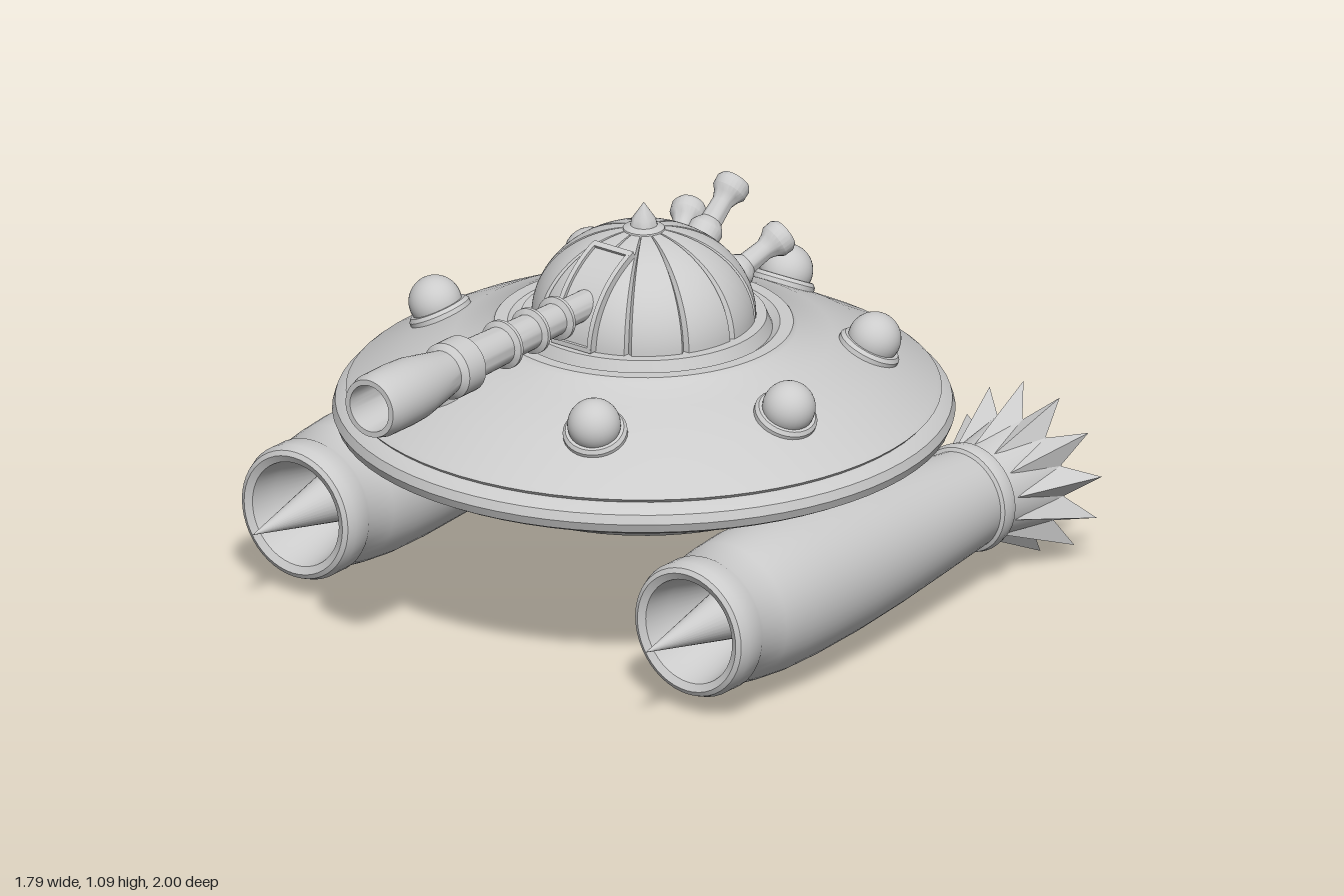
import * as THREE from 'three';
import { toCreasedNormals } from 'three/addons/utils/BufferGeometryUtils.js';

const grey = new THREE.MeshStandardMaterial({ color: 0xcccccc });
const thin = new THREE.MeshStandardMaterial({ color: 0xcccccc, side: THREE.DoubleSide });

function add(parent, name, geometry, material = grey) {
  const mesh = new THREE.Mesh(geometry, material);
  mesh.name = name;
  parent.add(mesh);
  return mesh;
}

// Turned shape from [radius, height] pairs; listed upwards the outside faces out
function turned(points, segments = 48) {
  const profile = points.map(([r, h]) => new THREE.Vector2(r, h));
  return toCreasedNormals(new THREE.LatheGeometry(profile, segments), 0.6);
}
const turnedZ = (points, segments) => turned(points, segments).rotateX(Math.PI / 2);

// Dome whose twelve panels are separated by narrow grooves
function panelledDome(radius, height) {
  const geo = new THREE.SphereGeometry(1, 192, 24, 0, Math.PI * 2, 0, Math.PI / 2);
  const p = geo.attributes.position;
  for (let i = 0; i < p.count; i++) {
    const turn = (Math.atan2(p.getZ(i), p.getX(i)) / (Math.PI / 6) + 12) % 1;
    const seam = Math.min(turn, 1 - turn) < 0.05 && p.getY(i) < 0.985;
    const k = seam ? 0.95 : 1;
    p.setXYZ(i, p.getX(i) * radius * k, p.getY(i) * height * k, p.getZ(i) * radius * k);
  }
  return toCreasedNormals(geo, 0.5);
}

// Curved strip that follows the front of the dome
function domeStrip(width, inner, outer, from, to) {
  const shape = new THREE.Shape();
  const n = 14;
  for (let i = 0; i <= 2 * n + 1; i++) {
    const out = i <= n;
    const t = out ? i / n : (2 * n + 1 - i) / n;
    const a = from + (to - from) * t;
    const k = out ? outer : inner;
    const x = Math.cos(a) * 0.3 * k, y = Math.sin(a) * 0.25 * k;
    if (i === 0) shape.moveTo(x, y); else shape.lineTo(x, y);
  }
  const geo = new THREE.ExtrudeGeometry(shape, { depth: width, bevelEnabled: false });
  return toCreasedNormals(geo.translate(0, 0, -width / 2).rotateY(-Math.PI / 2), 0.5);
}

// Ring of pointed, ridged teeth around the exhaust
function exhaustTeeth(side, count = 12) {
  const v = [];
  const at = (a, r, z) => [Math.cos(a) * r * side, Math.sin(a) * r, z];
  for (let i = 0; i < count; i++) {
    const a = -Math.PI / 2 + 0.12 + (i / count) * Math.PI * 2;
    const half = Math.PI / count;
    const root = at(a, 0.128, -0.76), tip = at(a, 0.237, -0.99);
    const left = at(a - half, 0.162, -0.92), right = at(a + half, 0.162, -0.92);
    const corners = [root, left, tip, root, tip, right, left, right, tip];
    v.push(...(side > 0 ? corners : corners.reverse()).flat());
  }
  const geo = new THREE.BufferGeometry();
  geo.setAttribute('position', new THREE.Float32BufferAttribute(v, 3));
  geo.computeVertexNormals();
  return geo;
}

function makePod(side) {
  const pod = new THREE.Group();
  pod.name = side > 0 ? 'leftPod' : 'rightPod';
  pod.position.set(0.66 * side, 0.24, 0);
  // Body from the rear collar to the hollow nose
  add(pod, 'podBody', turnedZ([
    [0.125, -0.74], [0.145, -0.735], [0.15, -0.71], [0.145, -0.69], [0.135, -0.685],
    [0.155, -0.5], [0.176, -0.3], [0.192, -0.1], [0.2, 0.08], [0.2, 0.2],
    [0.192, 0.3], [0.18, 0.385], [0.187, 0.4], [0.187, 0.455], [0.178, 0.478], [0.165, 0.485],
    [0.145, 0.475], [0.13, 0.4], [0.085, 0.24], [0, 0.24],
  ]));
  add(pod, 'noseSpike', turnedZ([[0.085, 0.24], [0, 0.66]], 32));
  // Flared exhaust, open at the back
  add(pod, 'exhaustFlare', turnedZ([
    [0, -0.76], [0.1, -0.76], [0.15, -0.925], [0.162, -0.925], [0.14, -0.83], [0.125, -0.73],
  ]), thin);
  add(pod, 'exhaustTeeth', exhaustTeeth(side), thin);
  return pod;
}

export function createModel() {
  const model = new THREE.Group();
  model.name = 'saucerTank';
  const saucer = new THREE.Group();
  saucer.name = 'saucer';
  saucer.position.z = -0.172;
  model.add(saucer);

  // Hull, from the stepped underside to the turret ring
  add(saucer, 'hull', turned([
    [0, 0.37], [0.18, 0.37], [0.2, 0.31], [0.265, 0.31], [0.29, 0.39], [0.31, 0.39],
    [0.36, 0.33], [0.47, 0.33], [0.6, 0.39], [0.74, 0.465], [0.79, 0.468],
    [0.813, 0.48], [0.823, 0.505], [0.815, 0.53], [0.79, 0.548], [0.778, 0.552],
    [0.787, 0.562], [0.775, 0.572], [0.64, 0.645], [0.5, 0.71], [0.405, 0.738],
    [0.395, 0.75], [0.36, 0.75], [0.34, 0.735], [0.325, 0.77], [0, 0.775],
  ], 72));

  // Seven half-sunk globes in collars around the upper hull
  for (let i = 0; i < 7; i++) {
    const arm = new THREE.Group();
    arm.name = 'globeMount';
    arm.rotation.y = Math.PI + (i / 7) * Math.PI * 2;
    const seat = new THREE.Group();
    seat.position.set(0, 0.665, 0.592);
    seat.rotation.x = 0.46;
    arm.add(seat);
    add(seat, 'globeCollar', turned([
      [0.086, -0.04], [0.086, 0.012], [0.078, 0.022], [0.066, 0.022],
    ], 32));
    add(seat, 'globe', new THREE.SphereGeometry(0.071, 32, 20)).position.y = 0.038;
    saucer.add(arm);
  }

  // Turret
  const turret = new THREE.Group();
  turret.name = 'turret';
  turret.position.y = 0.768;
  saucer.add(turret);
  add(turret, 'dome', panelledDome(0.297, 0.25));
  add(turret, 'domeCap', turned([
    [0.058, 0.235], [0.055, 0.25], [0.036, 0.258], [0.032, 0.275], [0.018, 0.295], [0, 0.322],
  ], 24));

  // Gun port frame
  add(turret, 'gunPort', domeStrip(0.11, 0.9, 1.006, 0.05, 1.1));
  for (const s of [-1, 1]) {
    add(turret, 'portRail', domeStrip(0.014, 0.9, 1.04, 0.03, 1.13)).position.x = s * 0.06;
  }
  add(turret, 'portTop', domeStrip(0.13, 0.9, 1.04, 1.09, 1.15));
  add(turret, 'portSill', domeStrip(0.13, 0.9, 1.04, 0.02, 0.07));

  // Main gun with ringed barrel and hollow muzzle
  add(model, 'mainGun', turnedZ([
    [0, 0], [0.038, 0], [0.04, 0.19], [0.06, 0.195], [0.06, 0.205], [0.044, 0.212],
    [0.046, 0.3], [0.063, 0.306], [0.063, 0.316], [0.048, 0.323],
    [0.05, 0.42], [0.067, 0.427], [0.067, 0.437], [0.052, 0.445],
    [0.056, 0.585], [0.068, 0.59], [0.078, 0.6], [0.078, 0.67], [0.068, 0.68],
    [0.062, 0.685], [0.074, 0.75], [0.086, 0.82], [0.089, 0.88], [0.088, 0.97], [0.08, 1],
    [0.065, 1], [0.06, 0.85], [0, 0.85],
  ], 40)).position.y = 0.878;

  // Three small rear guns pointing up and out of the dome
  const rearGun = turned([
    [0, -0.04], [0.045, -0.04], [0.047, 0.02], [0.04, 0.032], [0.03, 0.045], [0.028, 0.105],
    [0.036, 0.125], [0.047, 0.14], [0.048, 0.165], [0.04, 0.178], [0.025, 0.178], [0.022, 0.15], [0, 0.15],
  ], 24);
  const up = new THREE.Vector3(0, 1, 0);
  const aims = [
    [[0, 0.915, -0.425], [0, 0.62, -0.78]],
    [[0.105, 0.83, -0.425], [0.3, 0.46, -0.84]],
    [[-0.105, 0.83, -0.425], [-0.3, 0.46, -0.84]],
  ];
  for (const [base, dir] of aims) {
    const gun = add(model, 'rearGun', rearGun);
    gun.position.set(...base);
    gun.quaternion.setFromUnitVectors(up, new THREE.Vector3(...dir).normalize());
  }

  model.add(makePod(1), makePod(-1));
  return model;
}
